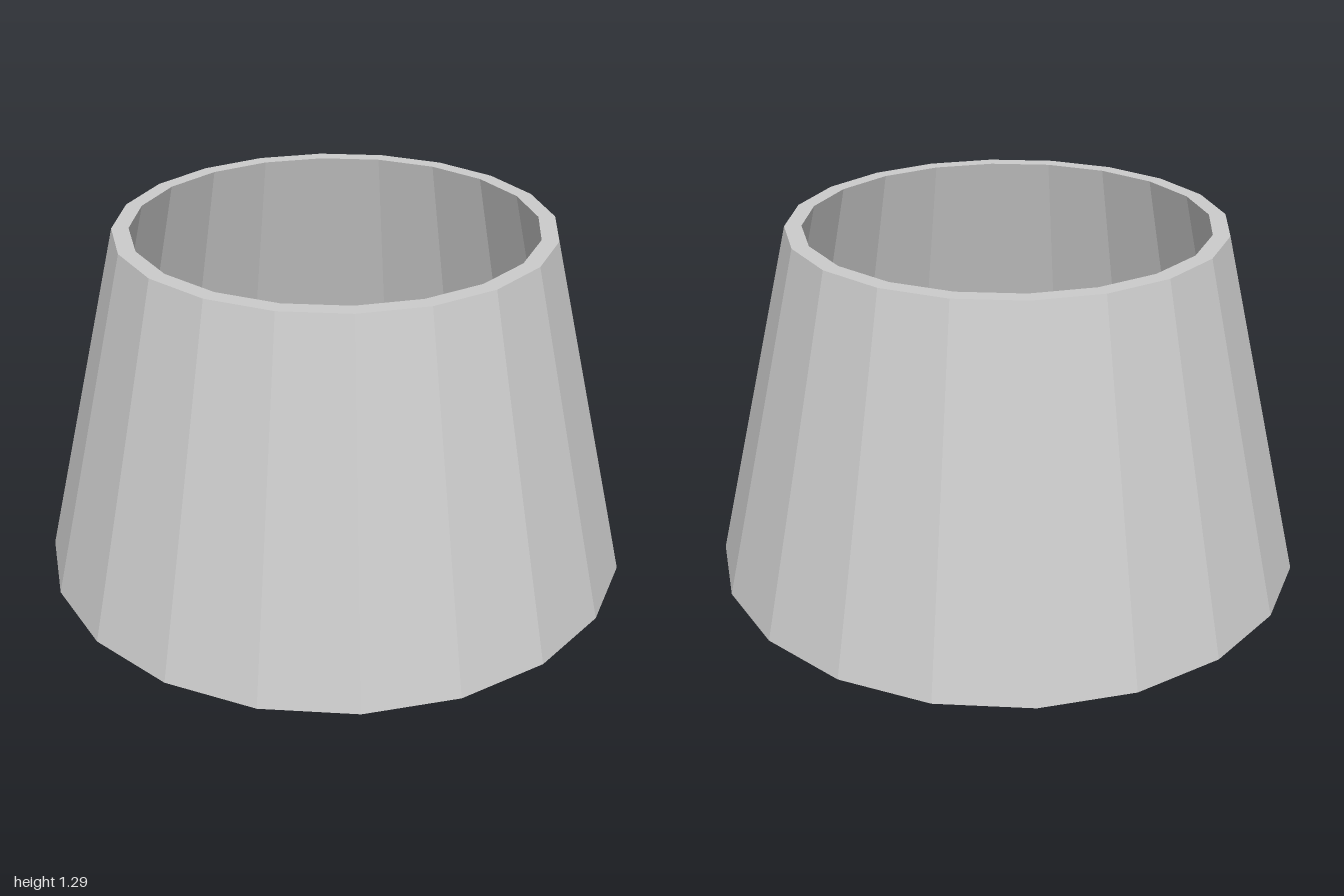
import * as THREE from 'three';

export function createModel() {
  const model = new THREE.Group();
  const material = new THREE.MeshStandardMaterial({ color: 0xcccccc, flatShading: true });

  const add = (name, geometry) => {
    const mesh = new THREE.Mesh(geometry, material);
    mesh.name = name;
    model.add(mesh);
    return mesh;
  };

  // Hollow tapered shade: closed wall section, up the outside and down the inside
  const wall = [[1, 0.12], [0.715, 1.295], [0.66, 1.295], [0.935, 0.12], [1, 0.12]]
    .map(([r, y]) => new THREE.Vector2(r, y));
  add('shade', new THREE.LatheGeometry(wall, 20));

  // Central socket, reaching just below the shade
  const socketHeight = 0.555;
  const socket = add('socket', new THREE.CylinderGeometry(0.116, 0.116, socketHeight, 10));
  socket.position.y = socketHeight / 2;
  socket.rotation.y = Math.PI / 2;

  // Four spokes from the socket into the shade wall
  const inner = 0.09, outer = 0.92, bottom = 0.2, top = 0.41;
  for (let i = 0; i < 4; i++) {
    const geometry = new THREE.BoxGeometry(outer - inner, top - bottom, 0.06);
    geometry.translate((inner + outer) / 2, (bottom + top) / 2, 0);
    add('spoke', geometry).rotation.y = i * Math.PI / 2;
  }

  return model;
}
